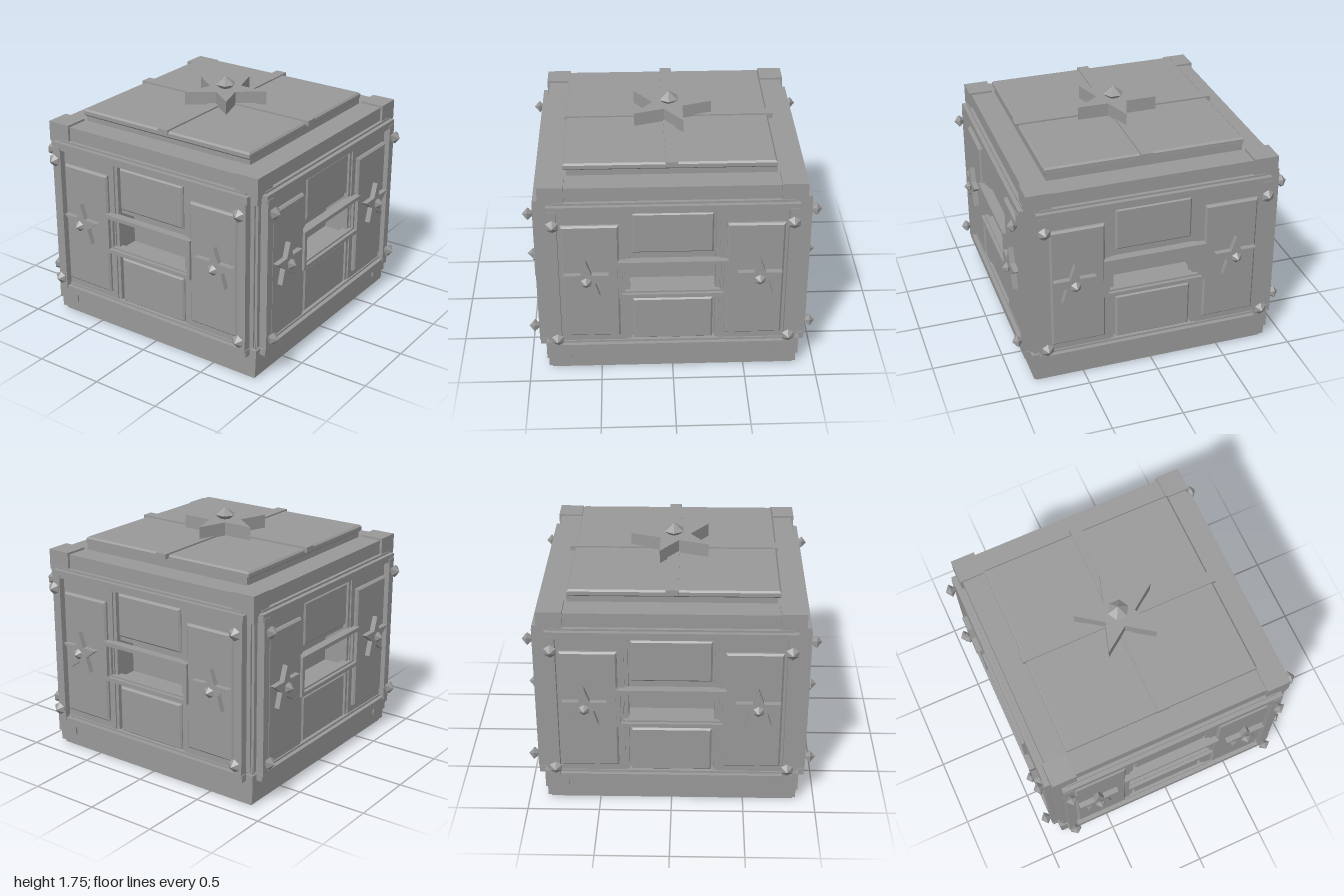
import * as THREE from 'three';

const stone = new THREE.MeshStandardMaterial({ color: 0x999999 });
stone.name = 'plain grey';

function add(parent, name, geometry, x = 0, y = 0, z = 0) {
  const mesh = new THREE.Mesh(geometry, stone);
  mesh.name = name;
  mesh.position.set(x, y, z);
  parent.add(mesh);
  return mesh;
}

// Box given by its minimum and maximum on each axis
function block(parent, name, x0, x1, y0, y1, z0, z1) {
  return add(parent, name, new THREE.BoxGeometry(x1 - x0, y1 - y0, z1 - z0),
    (x0 + x1) / 2, (y0 + y1) / 2, (z0 + z1) / 2);
}

function rect(path, x0, x1, y0, y1) {
  path.moveTo(x0, y0);
  path.lineTo(x1, y0);
  path.lineTo(x1, y1);
  path.lineTo(x0, y1);
  path.closePath();
  return path;
}

// Rectangular ring; b is the border width
function frame(parent, name, x0, x1, y0, y1, b, z0, z1) {
  const shape = rect(new THREE.Shape(), x0, x1, y0, y1);
  shape.holes.push(rect(new THREE.Path(), x0 + b, x1 - b, y0 + b, y1 - b));
  return add(parent, name, new THREE.ExtrudeGeometry(shape, { depth: z1 - z0, bevelEnabled: false }), 0, 0, z0);
}

// Raised panel with a small chamfer round its face
function panel(parent, name, x0, x1, y0, y1, z0, z1) {
  const c = 0.012;
  const shape = rect(new THREE.Shape(), x0 + c, x1 - c, y0 + c, y1 - c);
  return add(parent, name, new THREE.ExtrudeGeometry(shape, {
    depth: z1 - z0 - 2 * c, bevelEnabled: true, bevelSegments: 1, bevelSize: c, bevelThickness: c,
  }), 0, 0, z0 + c);
}

function starGeometry(outer, inner, depth) {
  const points = [];
  for (let i = 0; i < 10; i++) {
    const r = i % 2 ? inner : outer;
    const a = Math.PI / 2 + i * Math.PI / 5;
    points.push(new THREE.Vector2(r * Math.cos(a), r * Math.sin(a)));
  }
  return new THREE.ExtrudeGeometry(new THREE.Shape(points), { depth, bevelEnabled: false });
}

// Six-sided faceted stud along +y
function studGeometry(r, down, up) {
  const profile = [[0, -down], [r * 0.4, -down], [r, 0], [0, up]].map(p => new THREE.Vector2(...p));
  const g = new THREE.LatheGeometry(profile, 6).toNonIndexed();
  g.computeVertexNormals();
  return g;
}

// One wall facing +z
function makeWall() {
  const wall = new THREE.Group();
  wall.name = 'wall';

  // Backing round the window slot
  block(wall, 'upperBacking', -0.8, 0.8, 0.925, 1.33, 0.66, 0.84);
  block(wall, 'lowerBacking', -0.8, 0.8, 0.2, 0.635, 0.66, 0.84);
  for (const s of [-1, 1]) {
    const side = (name, make, a, b, ...rest) =>
      make(wall, name, Math.min(s * a, s * b), Math.max(s * a, s * b), ...rest);
    side('sideBacking', block, 0.31, 0.8, 0.635, 0.925, 0.66, 0.84);
    side('doorLeaf', block, 0.31, 0.76, 0.245, 1.31, 0.84, 0.885);
    side('doorPanel', panel, 0.355, 0.735, 0.31, 1.205, 0.87, 0.912);
    side('cornerStrip', block, 0.74, 0.845, 0.25, 1.3, 0.8, 0.875);
    side('frameStile', block, 0.755, 0.815, 0.22, 1.33, 0.84, 0.93);
    side('doorTrim', block, 0.285, 0.312, 0.25, 1.3, 0.8, 0.875);

    add(wall, 'wallStar', starGeometry(0.155, 0.062, 0.045), s * 0.575, 0.79, 0.905);
    const stud = (x, y, r, z) => {
      const m = add(wall, 'stud', studGeometry(r, 0.03, 0.037), x, y, z);
      m.rotation.x = Math.PI / 2;
    };
    stud(s * 0.575, 0.79, 0.04, 0.962);
    for (const y of [0.32, 1.24]) stud(s * 0.78, y, 0.047, 0.963);
  }

  // Rails above and below the doors
  for (const [y0, y1] of [[0.19, 0.242], [1.308, 1.36]]) {
    block(wall, 'frameRail', -0.82, 0.82, y0, y1, 0.8, 0.925);
    const mid = (y0 + y1) / 2;
    block(wall, 'railEdge', -0.79, 0.79, mid - 0.04, mid + 0.04, 0.8, 0.895);
  }

  // Centre panels and window surround
  panel(wall, 'upperPanel', -0.27, 0.27, 0.965, 1.275, 0.82, 0.875);
  panel(wall, 'lowerPanel', -0.27, 0.27, 0.25, 0.59, 0.82, 0.875);
  frame(wall, 'windowFrame', -0.365, 0.365, 0.635, 0.925, 0.028, 0.87, 0.93);
  frame(wall, 'windowLip', -0.34, 0.34, 0.655, 0.905, 0.02, 0.84, 0.905);
  return wall;
}

export function createModel() {
  const model = new THREE.Group();
  model.name = 'strongbox';

  // Base and core
  block(model, 'foot', -0.84, 0.84, 0, 0.03, -0.85, 0.85);
  block(model, 'base', -0.86, 0.86, 0.025, 0.24, -0.87, 0.87);
  block(model, 'core', -0.67, 0.67, 0.2, 1.35, -0.68, 0.68);

  // Four walls, the side pair slightly wider and shallower
  for (let i = 0; i < 4; i++) {
    const wall = makeWall();
    wall.rotation.y = i * Math.PI / 2;
    if (i % 2) wall.scale.set(1.018, 1, 0.988);
    model.add(wall);
  }

  // Corner posts with their feet and caps
  for (const sx of [-1, 1]) for (const sz of [-1, 1]) {
    const corner = new THREE.Group();
    corner.name = 'corner';
    const piece = (name, inner, outer, y0, y1) => {
      const c = (inner + outer) / 2, w = outer - inner;
      add(corner, name, new THREE.BoxGeometry(w, y1 - y0, w), sx * c, (y0 + y1) / 2, sz * (c + 0.01));
    };
    piece('post', 0.74, 0.84, 0.2, 1.35);
    piece('foot', 0.705, 0.872, 0.1, 0.235);
    piece('footCollar', 0.78, 0.855, 0.2, 0.29);
    piece('capCollar', 0.78, 0.872, 1.3, 1.38);
    piece('cap', 0.705, 0.878, 1.345, 1.49);
    model.add(corner);
  }

  // Roof slab, raised panel and cross straps
  block(model, 'roofSlab', -0.86, 0.86, 1.31, 1.475, -0.87, 0.87);
  block(model, 'roofStep', -0.69, 0.69, 1.47, 1.535, -0.7, 0.7);
  const top = panel(model, 'roofPanel', -0.7, 0.7, -0.71, 0.71, 0, 0.05);
  top.rotation.x = -Math.PI / 2;
  top.position.y = 1.527;
  block(model, 'strapAcross', -0.72, 0.72, 1.54, 1.577, -0.042, 0.042);
  block(model, 'strapAlong', -0.042, 0.042, 1.54, 1.576, -0.73, 0.73);

  // Roof star and its stud
  const star = add(model, 'roofStar', starGeometry(0.3, 0.116, 0.1), 0, 1.56, 0);
  star.rotation.x = -Math.PI / 2;
  const knob = add(model, 'roofStud', studGeometry(0.075, 0.035, 0.055), 0, 1.69, 0);
  knob.rotation.y = Math.PI / 6;
  return model;
}
